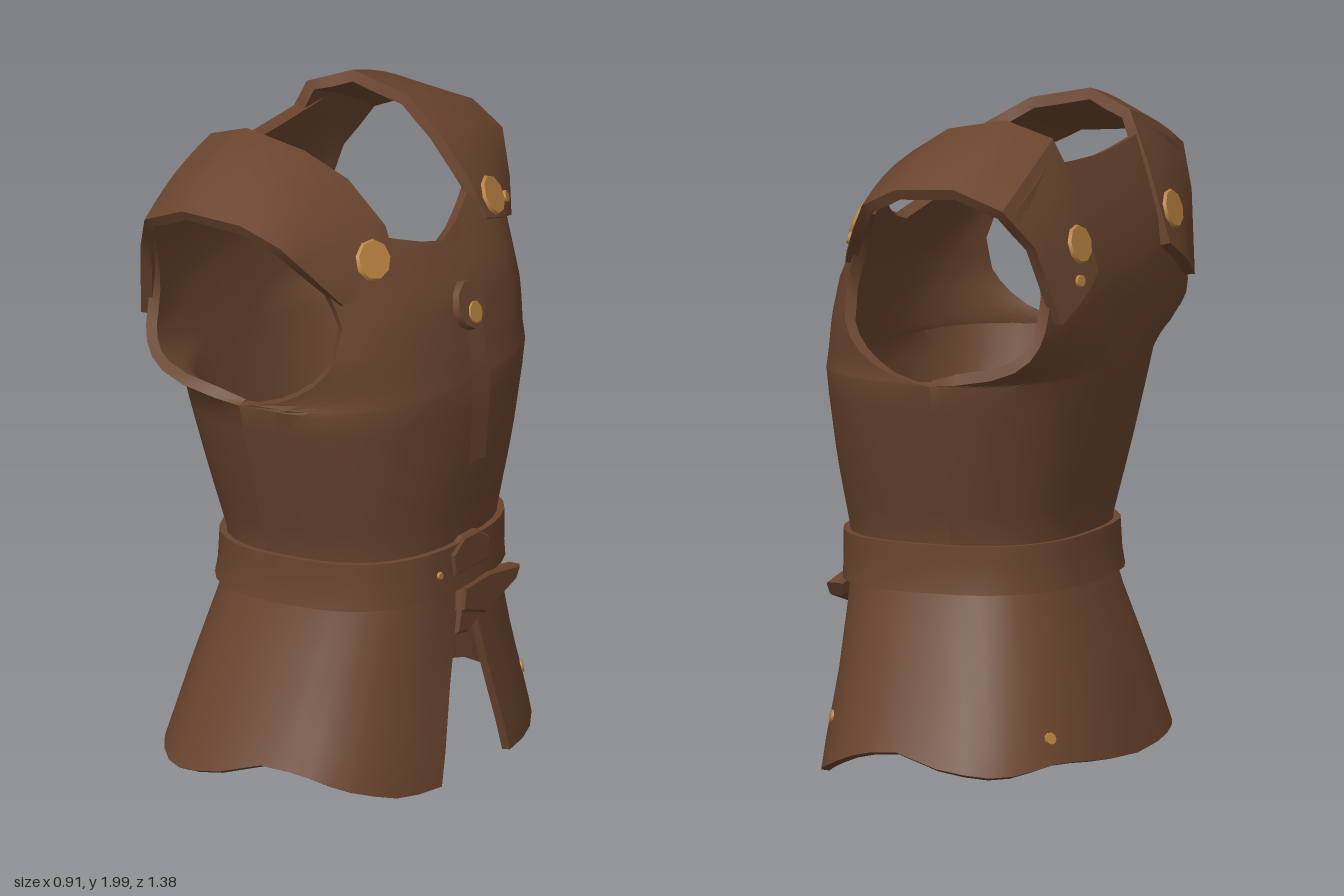
import * as THREE from 'three';
import { toCreasedNormals } from 'three/addons/utils/BufferGeometryUtils.js';

const leather = new THREE.MeshStandardMaterial({ color: 0x6b452f });
leather.name = 'brown leather';
const brass = new THREE.MeshStandardMaterial({ color: 0xb88240 });
brass.name = 'worn brass';

const POWER = 2.6; // squareness of the horizontal sections

// Horizontal sections: y, back x, front x, half width in z
const SECTIONS = [
  [0.0, -0.455, 0.45, 0.65], [0.08, -0.445, 0.445, 0.625], [0.3, -0.39, 0.42, 0.53], [0.6, -0.3, 0.4, 0.41],
  [0.74, -0.3, 0.41, 0.42], [0.95, -0.345, 0.438, 0.49], [1.22, -0.395, 0.455, 0.575],
  [1.35, -0.41, 0.435, 0.575], [1.5, -0.42, 0.405, 0.585], [1.65, -0.405, 0.325, 0.6],
  [1.8, -0.36, 0.22, 0.6], [2.0, -0.28, 0.05, 0.6],
];

// Armhole edge: y, front x, back x, z
const ARMHOLE = [
  [1.23, -0.03, -0.03, 0.576], [1.25, 0.08, -0.2, 0.572], [1.3, 0.19, -0.33, 0.558], [1.38, 0.265, -0.38, 0.53],
  [1.5, 0.275, -0.388, 0.49], [1.6, 0.245, -0.382, 0.505], [1.7, 0.195, -0.36, 0.565], [1.79, 0.145, -0.315, 0.63],
];

// Linear lookup in a table keyed by its first column
function lookup(table, k) {
  let i = 0;
  while (i < table.length - 2 && k > table[i + 1][0]) i++;
  const a = table[i], b = table[i + 1];
  const f = THREE.MathUtils.clamp((k - a[0]) / (b[0] - a[0]), 0, 1);
  return a.map((v, n) => v + (b[n] - v) * f);
}

const signedPow = (v, p) => Math.sign(v) * Math.abs(v) ** p;

// Point on the torso at angle a (0 = chest, +90 degrees = +z side)
function torso(a, y, off = 0) {
  const [, back, front, half] = lookup(SECTIONS, y);
  return new THREE.Vector3(
    (front + back) / 2 + ((front - back) / 2 + off) * signedPow(Math.cos(a), 2 / POWER), y,
    (half + off) * signedPow(Math.sin(a), 2 / POWER));
}

// Angle of the point with the given x on the +z half of a section
function angleAtX(x, y) {
  const [, back, front] = lookup(SECTIONS, y);
  const r = (2 * x - front - back) / (front - back);
  return Math.acos(THREE.MathUtils.clamp(signedPow(r, POWER / 2), -1, 1));
}

// Front (side 1) or back (side -1) half from waist to neckline, cut out at the armholes
const bodyHalf = (side, top) => (u, v) => {
  const t = 2 * v - 1;
  const y = u < 0.4 ? 0.58 + 0.65 * u / 0.4
    : 1.23 + (lookup(top, Math.abs(t))[1] - 1.23) * ((u - 0.4) / 0.6) ** 1.6;
  const [, frontX, backX, edgeZ] = lookup(ARMHOLE, y);
  const edge = angleAtX(side > 0 ? frontX : backX, y);
  const p = torso(side > 0 ? t * edge : Math.PI + t * (Math.PI - edge), y);
  if (y > 1.23) p.z *= edgeZ / torso(edge, y).z;
  return p;
};

// Thick sheet from a grid of points: rows x cols, at(u, v) with u, v in 0..1
function sheet(rows, cols, at, thick) {
  const pos = [], idx = [], m = cols + 1, count = (rows + 1) * m;
  for (let i = 0; i <= rows; i++)
    for (let j = 0; j <= cols; j++) pos.push(...at(i / rows, j / cols).toArray());
  for (let i = 0; i < rows; i++)
    for (let j = 0; j < cols; j++) {
      const a = i * m + j, c = a + m;
      idx.push(a, c, a + 1, a + 1, c, c + 1);
    }
  const g = new THREE.BufferGeometry();
  g.setAttribute('position', new THREE.Float32BufferAttribute(pos, 3));
  g.setIndex(idx);
  g.computeVertexNormals();
  const n = g.attributes.normal.array;
  const all = pos.concat(pos.map((v, k) => v - n[k] * thick));
  const tris = idx.slice();
  for (let k = 0; k < idx.length; k += 3) tris.push(idx[k] + count, idx[k + 2] + count, idx[k + 1] + count);
  // Walls around the border
  const loop = [];
  for (let i = 0; i < rows; i++) loop.push(i * m);
  for (let j = 0; j < cols; j++) loop.push(rows * m + j);
  for (let i = rows; i > 0; i--) loop.push(i * m + cols);
  for (let j = cols; j > 0; j--) loop.push(j);
  loop.forEach((p, k) => {
    const q = loop[(k + 1) % loop.length];
    tris.push(q, p, p + count, q, p + count, q + count);
  });
  const out = new THREE.BufferGeometry();
  out.setAttribute('position', new THREE.Float32BufferAttribute(all, 3));
  out.setIndex(tris);
  return toCreasedNormals(out, 0.7);
}

// Shoulder strap stations, front to back: inner edge then outer edge
const STRAP = [
  [0.33, 1.635, 0.265, 0.28, 1.57, 0.49], [0.28, 1.75, 0.245, 0.23, 1.66, 0.565],
  [0.16, 1.88, 0.26, 0.155, 1.775, 0.65], [0.03, 1.96, 0.3, 0.035, 1.835, 0.68],
  [-0.16, 2.0, 0.31, -0.16, 1.85, 0.69], [-0.3, 1.95, 0.28, -0.305, 1.79, 0.66],
  [-0.37, 1.8, 0.255, -0.372, 1.67, 0.57], [-0.44, 1.56, 0.26, -0.42, 1.43, 0.485],
];

function strapPoint(u, v, side) {
  const k = u * (STRAP.length - 1), i = Math.min(Math.floor(k), STRAP.length - 2);
  const s = STRAP[i].map((c, n) => c + (STRAP[i + 1][n] - c) * (k - i));
  const w = side > 0 ? v : 1 - v, bulge = 0.014 * Math.sin(Math.PI * w);
  return new THREE.Vector3(
    s[0] + (s[3] - s[0]) * w + bulge * Math.cos(Math.PI * u),
    s[1] + (s[4] - s[1]) * w + bulge * Math.sin(Math.PI * u),
    side * (s[2] + (s[5] - s[2]) * w));
}

// Studs on a strap: name, position along and across it, radius
const STUDS = [['FrontStud', 0.08, 0.34, 0.063], ['BackStud', 0.925, 0.3, 0.06]];
const SMALL_STUDS = [['SmallFrontStud', 0.07, 0.72, 0.019], ['SmallBackStud', 0.97, 0.5, 0.019]];

export function createModel() {
  const model = new THREE.Group();
  const add = (name, geo, mat = leather) => {
    const mesh = new THREE.Mesh(geo, mat);
    mesh.name = name;
    model.add(mesh);
    return mesh;
  };

  // Body: chest half with a V neckline, back half with a high neckline
  add('chestHalf', sheet(20, 20, bodyHalf(1, [[0, 1.64], [0.4, 1.74], [0.6, 1.75], [1, 1.745]]), 0.035));
  add('backHalf', sheet(20, 20, bodyHalf(-1, [[0, 1.865], [0.5, 1.885], [1, 1.77]]), 0.035));

  // Skirt, split at the front, with an uneven hem
  const hem = [[0, 0.01], [0.3, 0.015], [0.7, 0.06], [1.15, 0.12], [1.4, 0.13], [1.6, 0.085], [2.0, 0.065], [2.5, 0.1], [Math.PI, 0.07]];
  add('skirt', sheet(6, 36, (u, v) => {
    const around = Math.PI * 2 * v;
    const y0 = lookup(hem, Math.min(around, 2 * Math.PI - around))[1];
    const y = y0 + (0.61 - y0) * u;
    const gap = 0.2 - 0.3 * y;
    const a0 = Math.asin((gap / lookup(SECTIONS, y)[3]) ** (POWER / 2));
    return torso(a0 + (2 * Math.PI - 2 * a0) * v, y, 0.005);
  }, 0.025));

  // Belt
  add('belt', sheet(3, 32, (u, v) =>
    torso(Math.PI * (2 * v - 1), 0.585 + 0.145 * u, 0.03 - 0.01 * u), 0.035));

  // Flat pieces on the front, outlined in (-z, y)
  const slab = (name, outline, x, depth) => {
    const g = new THREE.ExtrudeGeometry(new THREE.Shape(outline.map(p => new THREE.Vector2(...p))),
      { depth, bevelEnabled: true, bevelSize: 0.008, bevelThickness: 0.008, bevelSegments: 1 });
    g.rotateY(Math.PI / 2);
    g.translate(x, 0, 0);
    add(name, g);
  };
  slab('beltKnot', [[-0.09, 0.64], [0.09, 0.64], [0.1, 0.7], [0.04, 0.735], [-0.04, 0.735], [-0.1, 0.7]], 0.4, 0.025);
  slab('beltTail', [[-0.05, 0.52], [0.08, 0.48], [0.25, 0.53], [0.27, 0.56], [0.1, 0.585], [-0.04, 0.58]], 0.395, 0.035);
  slab('beltLoop', [[-0.06, 0.45], [0.0, 0.44], [0.07, 0.47], [0.04, 0.52], [-0.04, 0.52]], 0.39, 0.025);

  // Overlapping closure edge down the chest, fading into it on one side
  add('closureEdge', sheet(6, 4, (u, v) => {
    const p = torso(0, 0.97 + 0.46 * u, 0.009 * (1 - 1.5 * v));
    p.z = -0.055 + 0.11 * v;
    return p;
  }, 0.02));

  // Disc lying against a surface
  const disc = (name, radius, depth, at, normal, mat, stretch = 1) => {
    const mesh = add(name, new THREE.CylinderGeometry(radius * 0.92, radius, depth, 9), mat);
    mesh.position.copy(at);
    mesh.quaternion.setFromUnitVectors(new THREE.Vector3(0, 1, 0), normal.normalize());
    mesh.scale.z = stretch;
  };
  const chestNormal = () => new THREE.Vector3(0.96, 0.26, 0);
  disc('chestTab', 0.08, 0.04, new THREE.Vector3(0.414, 1.455, 0), chestNormal(), leather);
  disc('chestButton', 0.036, 0.009, new THREE.Vector3(0.441, 1.435, -0.005), chestNormal(), brass);
  disc('beltRivet', 0.012, 0.009, torso(0.28, 0.655, 0.028), new THREE.Vector3(1, 0, 0.1), brass);

  // Small rivets low on the skirt, front and back
  for (const [a, y] of [[-0.72, 0.19], [Math.PI + 0.68, 0.17]]) {
    const p = torso(a, y, 0.006);
    const normal = torso(a + 0.05, y).sub(torso(a - 0.05, y)).cross(torso(a, y - 0.05).sub(torso(a, y + 0.05)));
    disc('skirtRivet', 0.02, 0.009, p, normal, brass);
  }

  // Shoulder straps with their studs
  for (const side of [1, -1]) {
    const name = side > 0 ? 'frontSide' : 'farSide';
    add(name + 'ShoulderStrap', sheet(14, 6, (u, v) => strapPoint(u, v, side), 0.035));
    for (const [stud, u, w, radius] of side > 0 ? STUDS : [...STUDS, ...SMALL_STUDS]) {
      const v = side > 0 ? w : 1 - w;
      const p = strapPoint(u, v, side);
      const along = strapPoint(u + 0.03, v, side).sub(strapPoint(u - 0.03, v, side));
      const across = strapPoint(u, v + 0.1, side).sub(strapPoint(u, v - 0.1, side));
      const normal = along.cross(across).normalize();
      disc(name + stud, radius, 0.009, p.addScaledVector(normal, 0.004), normal, brass, 1.15);
    }
  }
  return model;
}
